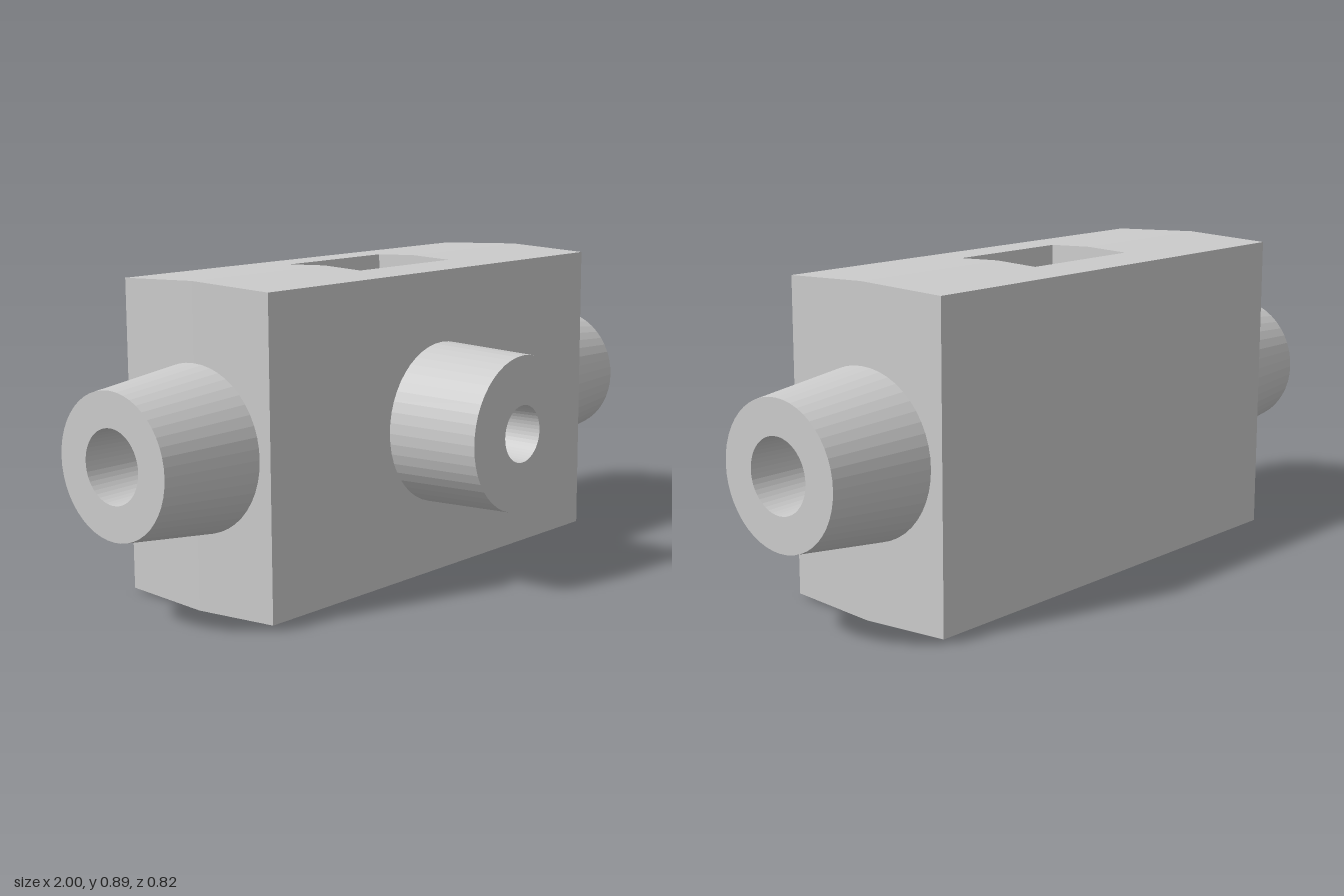
import * as THREE from 'three';

const material = new THREE.MeshStandardMaterial({ color: 0xcccccc, flatShading: true });

const midY = 0.446, midZ = -0.143, halfDepth = 0.268;
const windowX = 0.197, windowZ = 0.134;

// Drafted half sizes: widest on the central plane, narrowing to front and back
const draft = (z) => Math.abs(z - midZ) / halfDepth;
const halfHeight = (z) => 0.446 - 0.011 * draft(z);
const halfWidth = (z) => 0.711 - 0.008 * draft(z);

function bodyGeometry() {
  const pos = [];
  const quad = (a, b, c, d) => pos.push(...a, ...b, ...c, ...a, ...c, ...d);
  const corner = (u, s, z) => [
    Math.abs(u) === 1 ? u * halfWidth(z) : u * 2 * windowX, // u = +-1 outer edge, +-0.5 window edge
    midY + s * halfHeight(z), z];
  const zs = [-halfDepth, -windowZ, 0, windowZ, halfDepth].map((d) => midZ + d);
  const us = [-1, -0.5, 0.5, 1];

  for (let j = 0; j < 4; j++) {
    const z0 = zs[j], z1 = zs[j + 1];
    // Top and bottom, leaving out the window
    for (let i = 0; i < 3; i++) {
      if (i === 1 && (j === 1 || j === 2)) continue;
      const a = us[i], b = us[i + 1];
      quad(corner(a, 1, z1), corner(b, 1, z1), corner(b, 1, z0), corner(a, 1, z0));
      quad(corner(a, -1, z0), corner(b, -1, z0), corner(b, -1, z1), corner(a, -1, z1));
    }
    // Ends
    quad(corner(1, -1, z1), corner(1, -1, z0), corner(1, 1, z0), corner(1, 1, z1));
    quad(corner(-1, -1, z0), corner(-1, -1, z1), corner(-1, 1, z1), corner(-1, 1, z0));
  }

  // Front and back
  const f = zs[4], k = zs[0];
  quad(corner(-1, -1, f), corner(1, -1, f), corner(1, 1, f), corner(-1, 1, f));
  quad(corner(1, -1, k), corner(-1, -1, k), corner(-1, 1, k), corner(1, 1, k));

  // Window walls, tapering to a waist at mid height
  const outline = [[-1, -1], [1, -1], [1, 0], [1, 1], [-1, 1], [-1, 0]];
  const rim = ([u, w], s) => {
    const z = midZ + w * windowZ;
    return [u * windowX, midY + s * halfHeight(z), z];
  };
  const waist = ([u, w]) => [u * (windowX - 0.013), midY, midZ + w * (windowZ - 0.013)];
  outline.forEach((p, i) => {
    const q = outline[(i + 1) % outline.length];
    quad(waist(p), waist(q), rim(q, 1), rim(p, 1));
    quad(rim(p, -1), rim(q, -1), waist(q), waist(p));
  });

  const g = new THREE.BufferGeometry();
  g.setAttribute('position', new THREE.Float32BufferAttribute(pos, 3));
  g.computeVertexNormals();
  return g;
}

// Tapered spout with a blind, slightly tapered bore, turned about +y
function spout(name, base, tip, baseR, tipR, boreR, floorR, floor) {
  const profile = [[baseR, base], [tipR, tip], [boreR, tip], [floorR, floor], [0, floor]]
    .map(([r, y]) => new THREE.Vector2(r, y));
  const mesh = new THREE.Mesh(new THREE.LatheGeometry(profile, 48), material);
  mesh.name = name;
  mesh.position.set(0, midY, midZ);
  return mesh;
}

export function createModel() {
  const group = new THREE.Group();
  group.name = 'pipeBlock';

  const body = new THREE.Mesh(bodyGeometry(), material);
  body.name = 'body';
  group.add(body);

  // Side spouts
  for (const side of [1, -1]) {
    const s = spout(side > 0 ? 'leftSpout' : 'rightSpout', 0.70, 1, 0.231, 0.196, 0.1, 0.088, 0.714);
    s.rotation.z = -side * Math.PI / 2;
    group.add(s);
  }

  // Front spout
  const front = spout('frontSpout', 0.26, 0.553, 0.231, 0.22, 0.081, 0.073, 0.272);
  front.rotation.x = Math.PI / 2;
  group.add(front);

  return group;
}
